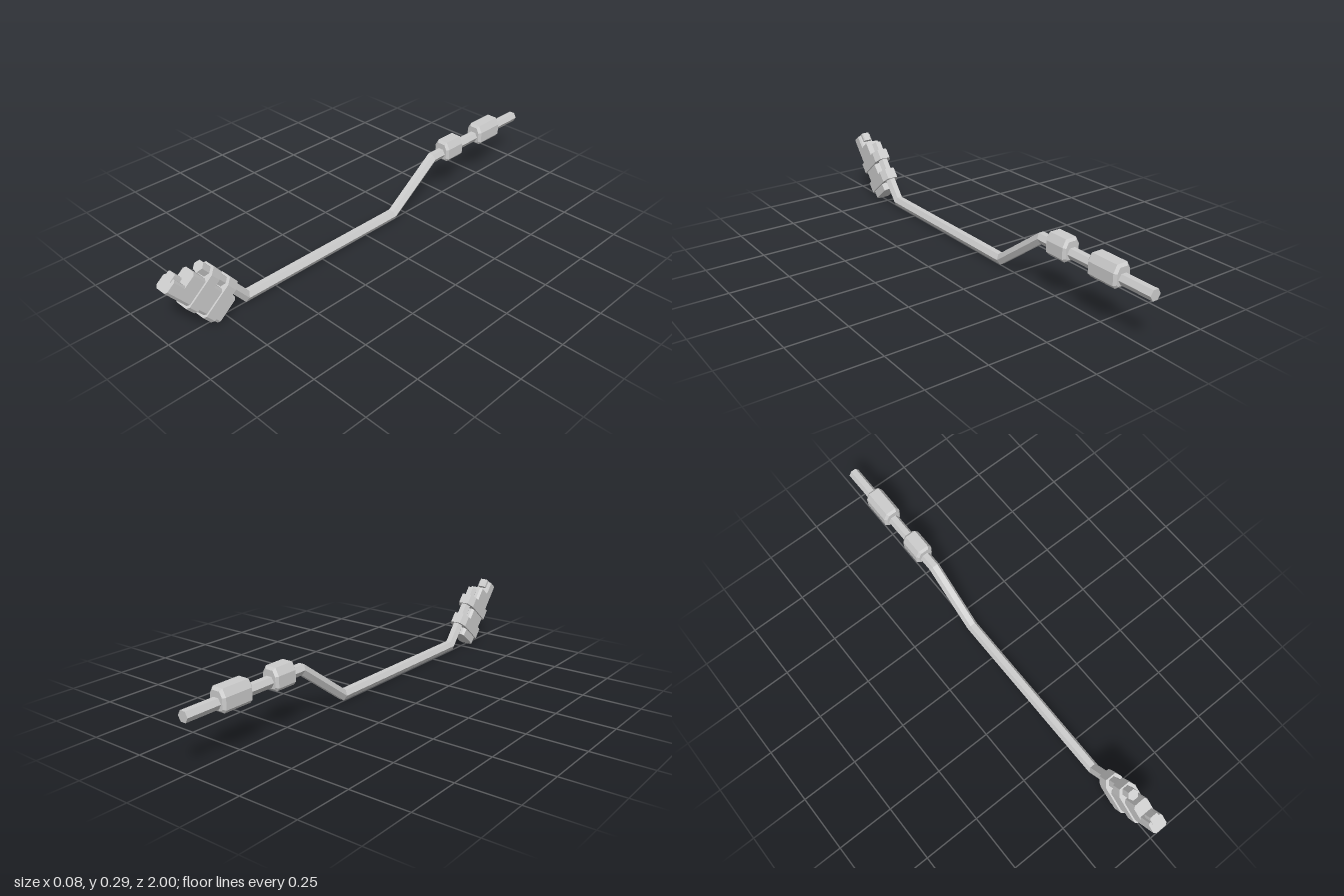
import * as THREE from 'three';

const material = new THREE.MeshStandardMaterial({ color: 0xcccccc, flatShading: true });

function addMesh(parent, name, geometry) {
  const mesh = new THREE.Mesh(geometry, material);
  mesh.name = name;
  parent.add(mesh);
  return mesh;
}

// Box outline with four cut corners: cut = [width, height] of each cut
function cutOutline(halfWidth, bottom, top, [bw, bh], [tw, th]) {
  const right = [[halfWidth - bw, bottom], [halfWidth, bottom + bh], [halfWidth, top - th], [halfWidth - tw, top]];
  const left = right.map(([x, y]) => [-x, y]).reverse();
  return new THREE.Shape([...right, ...left].map(([x, y]) => new THREE.Vector2(x, y)));
}

function prism(shape, length, bevel = 0) {
  const geometry = new THREE.ExtrudeGeometry(shape, {
    depth: length - 2 * bevel, bevelEnabled: bevel > 0, bevelSize: bevel,
    bevelThickness: bevel, bevelOffset: -bevel, bevelSegments: 1,
  });
  return geometry.translate(0, 0, bevel);
}

// Six-sided rod with mitred bends; path points are [z, y]
function mitredRod(path, radius) {
  const points = path.map(([z, y]) => new THREE.Vector2(z, y));
  const positions = [], index = [];
  const last = points.length - 1;
  points.forEach((p, i) => {
    const a = points[Math.max(i - 1, 0)], b = points[Math.min(i + 1, last)];
    const before = (i ? p.clone().sub(a) : b.clone().sub(p)).normalize();
    const after = (i < last ? b.clone().sub(p) : before.clone()).normalize();
    const along = before.clone().add(after).normalize();
    const stretch = 1 / along.dot(before);
    for (let k = 0; k < 6; k++) {
      const x = radius * Math.cos(k * Math.PI / 3);
      const v = radius * Math.sin(k * Math.PI / 3) * stretch;
      positions.push(x, p.y + v * along.x, p.x - v * along.y);
    }
  });
  for (let i = 0; i < last; i++) {
    for (let k = 0; k < 6; k++) {
      const a = i * 6 + k, b = i * 6 + (k + 1) % 6;
      index.push(a, b, b + 6, a, b + 6, a + 6);
    }
  }
  for (let k = 1; k < 5; k++) {
    index.push(0, k + 1, k, last * 6, last * 6 + k, last * 6 + k + 1);
  }
  const geometry = new THREE.BufferGeometry();
  geometry.setAttribute('position', new THREE.Float32BufferAttribute(positions, 3));
  geometry.setIndex(index);
  const flat = geometry.toNonIndexed();
  flat.computeVertexNormals();
  return flat;
}

export function createModel() {
  const model = new THREE.Group();
  model.name = 'bentRodWithPack';

  // Bent rod, from the rear handle end to the raised front end
  addMesh(model, 'rod', mitredRod(
    [[-1, 0.212], [-0.415, 0.212], [-0.165, 0.03], [0.645, 0.03], [0.838, 0.267]], 0.024));

  // Two bevelled grips on the rear of the rod
  const gripShape = cutOutline(0.04, 0.177, 0.268, [0.012, 0.014], [0.016, 0.03]);
  for (const [name, back, front] of [['frontGrip', -0.587, -0.477], ['rearGrip', -0.85, -0.705]]) {
    addMesh(model, name, prism(gripShape, front - back, 0.01)).position.z = back;
  }

  // Tilted pack: local y runs up its length, local -z goes towards the rod
  const pack = new THREE.Group();
  pack.name = 'pack';
  pack.position.set(0, 0, 0.8);
  pack.rotation.x = 0.687;
  model.add(pack);
  const addUpright = (name, shape, from, to, bevel) =>
    addMesh(pack, name, prism(shape, to - from, bevel).rotateX(-Math.PI / 2).translate(0, from, 0));

  // Stepped body: tall front half, shorter rear half
  const corner = [0.01, 0.01];
  addUpright('packFront', cutOutline(0.033, 0, 0.058, corner, [0.006, 0.008]), 0, 0.315);
  addUpright('packRear', cutOutline(0.033, 0.045, 0.115, [0.002, 0.002], corner), 0, 0.255);

  // Small catch on the top step
  addUpright('topCatch', cutOutline(0.019, 0.044, 0.076, [0.001, 0.001], [0.004, 0.006]), 0.28, 0.319);

  // Straps around pack and rod
  const strapShape = cutOutline(0.04, -0.01, 0.168, [0.012, 0.012], [0.016, 0.03]);
  addUpright('lowerStrap', strapShape, 0.035, 0.085);
  addUpright('upperStrap', strapShape, 0.139, 0.187);

  return model;
}
